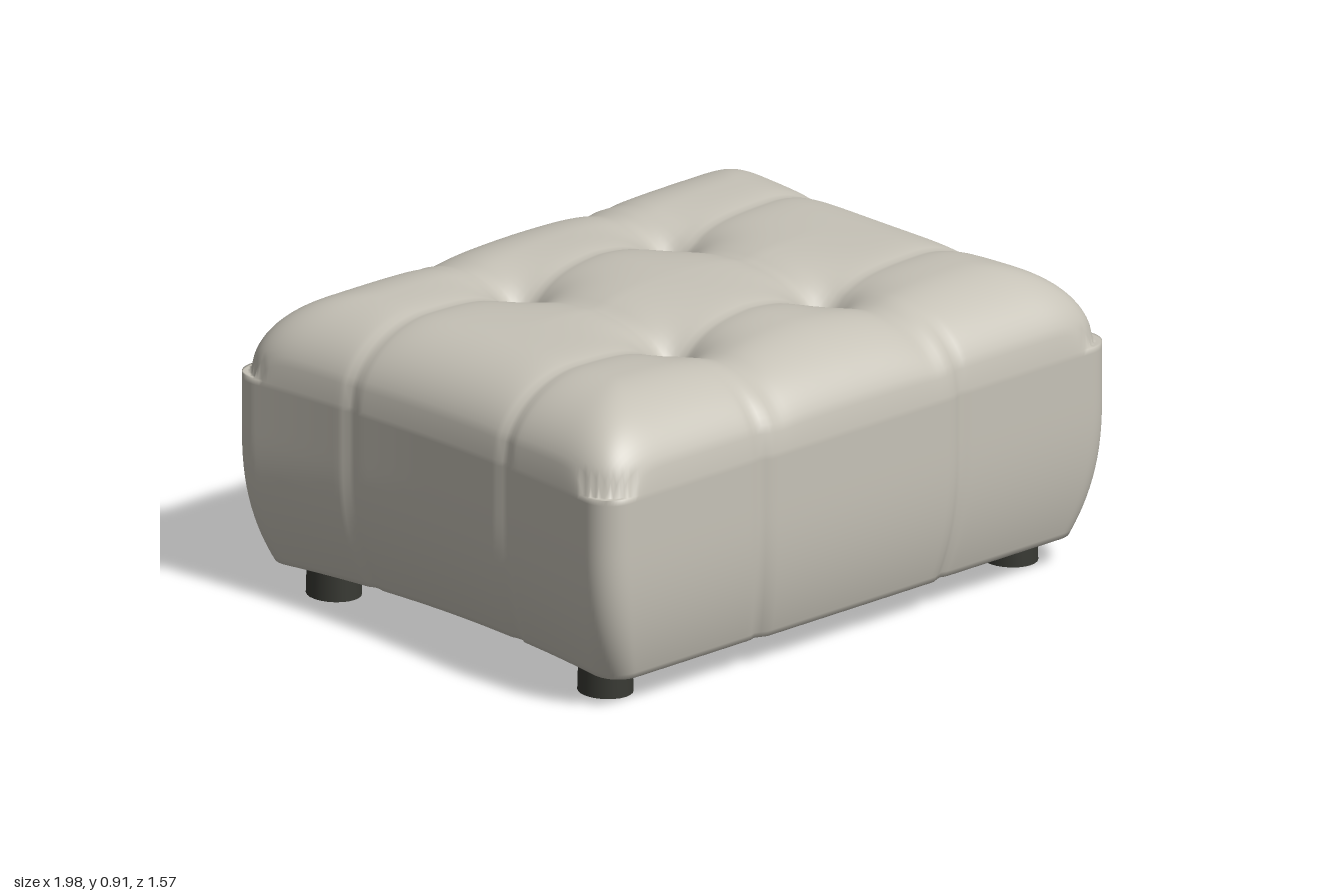
import * as THREE from 'three';
import { mergeVertices } from 'three/addons/utils/BufferGeometryUtils.js';

const HX = 1, HZ = 0.775;          // half width and half depth
const BASE = 0.09, RIM = 0.66;     // underside and start of the rounded top
const TUFT = 0.305;                // tuft positions on both axes

const bell = (x, w) => Math.exp(-((x / w) ** 2));
const crease = (x, w) => Math.exp(-Math.abs(x) / w);

// Height of the padded top: rounded rim, shallow seams and deep tufts
function topHeight(x, z) {
  const qx = Math.max(0, Math.abs(x) - HX + 0.3) / 0.3;
  const qz = Math.max(0, Math.abs(z) - HZ + 0.3) / 0.3;
  const m = Math.pow(qx ** 4 + qz ** 4, 0.25);
  const dome = Math.sqrt(Math.max(0, 1 - m * m));
  const ax = Math.abs(x) - TUFT, az = Math.abs(z) - TUFT;
  const r = Math.hypot(ax, az);
  let y = 0.232 * dome + 0.02 * bell(x, 0.35) * bell(z, 0.4);
  y -= dome * (0.028 * crease(ax, 0.07) + 0.016 * crease(az, 0.05));
  y -= dome * 0.13 * crease(r, 0.085);
  return RIM + y;
}

// Square plan to a rectangle with rounded corners
function plan(u, w) {
  const r = 0.1;
  let x = Math.abs(u) * HX, z = Math.abs(w) * HZ;
  const a = (x - HX + r) / r, b = (z - HZ + r) / r;
  if (a > 0 && b > 0) {
    x = HX - r + r * a * Math.sqrt(1 - b * b / 2);
    z = HZ - r + r * b * Math.sqrt(1 - a * a / 2);
  }
  return [x * Math.sign(u), z * Math.sign(w)];
}

// Pack the grid a little more densely towards the edges
const warp = (t) => 0.6 * t + 0.4 * Math.sin(t * Math.PI / 2);

function cushionGeometry() {
  let geo = new THREE.BoxGeometry(2, 2, 2, 116, 22, 92);
  geo.deleteAttribute('uv');
  geo.deleteAttribute('normal');
  geo = mergeVertices(geo, 1e-5);
  const p = geo.attributes.position;
  for (let i = 0; i < p.count; i++) {
    const v = p.getY(i);
    const [x, z] = plan(warp(p.getX(i)), warp(p.getZ(i)));
    let y = BASE + (RIM - BASE) * (warp(v) + 1) / 2;
    // The sides tuck in towards the floor
    const t = Math.max(0, (0.5 - y) / 0.41);
    const tuck = t ** 2.5;
    if (v > 0.9999) y = topHeight(x, z);
    else y += 0.015 * t * (1 - (z / HZ) ** 2);
    // Waisted ends, fuller middle panel and stitched side seams
    const waist = 0.95 + 0.05 * (z / HZ) ** 2 - 0.01 * bell(Math.abs(z) - 0.315, 0.018);
    const panel = 1 + 0.012 * (1 - THREE.MathUtils.smoothstep(Math.abs(x), 0.36, 0.4))
      - 0.012 * bell(Math.abs(x) - 0.385, 0.018);
    p.setXYZ(i, x * (waist - 0.08 * tuck), y, z * (panel - 0.07 * tuck));
  }
  geo.computeVertexNormals();
  return geo;
}

export function createModel() {
  const fabric = new THREE.MeshStandardMaterial({ color: 0xc6c2b7 });
  fabric.name = 'warm grey upholstery';
  const dark = new THREE.MeshStandardMaterial({ color: 0x383933 });
  dark.name = 'dark grey';

  const model = new THREE.Group();
  model.name = 'tuftedOttoman';
  const add = (name, geo, mat, x, y, z) => {
    const mesh = new THREE.Mesh(geo, mat);
    mesh.name = name;
    mesh.position.set(x, y, z);
    model.add(mesh);
    return mesh;
  };

  add('cushion', cushionGeometry(), fabric, 0, 0, 0);

  const footGeo = new THREE.CylinderGeometry(0.08, 0.084, 0.13, 24);
  const buttonGeo = new THREE.CylinderGeometry(0.036, 0.036, 0.008, 4);
  const buttonY = topHeight(TUFT + 0.025, TUFT + 0.025);
  for (const [sx, side] of [[1, 'left'], [-1, 'right']]) {
    for (const [sz, end] of [[1, 'Front'], [-1, 'Back']]) {
      // Short round feet
      add(side + end + 'Foot', footGeo, dark, sx * 0.79, 0.065, sz * 0.555).scale.x = 0.9;
      // Small buttons at the bottom of the tufts
      add(side + end + 'Button', buttonGeo, dark, sx * TUFT * 0.96, buttonY, sz * TUFT);
    }
  }
  return model;
}
